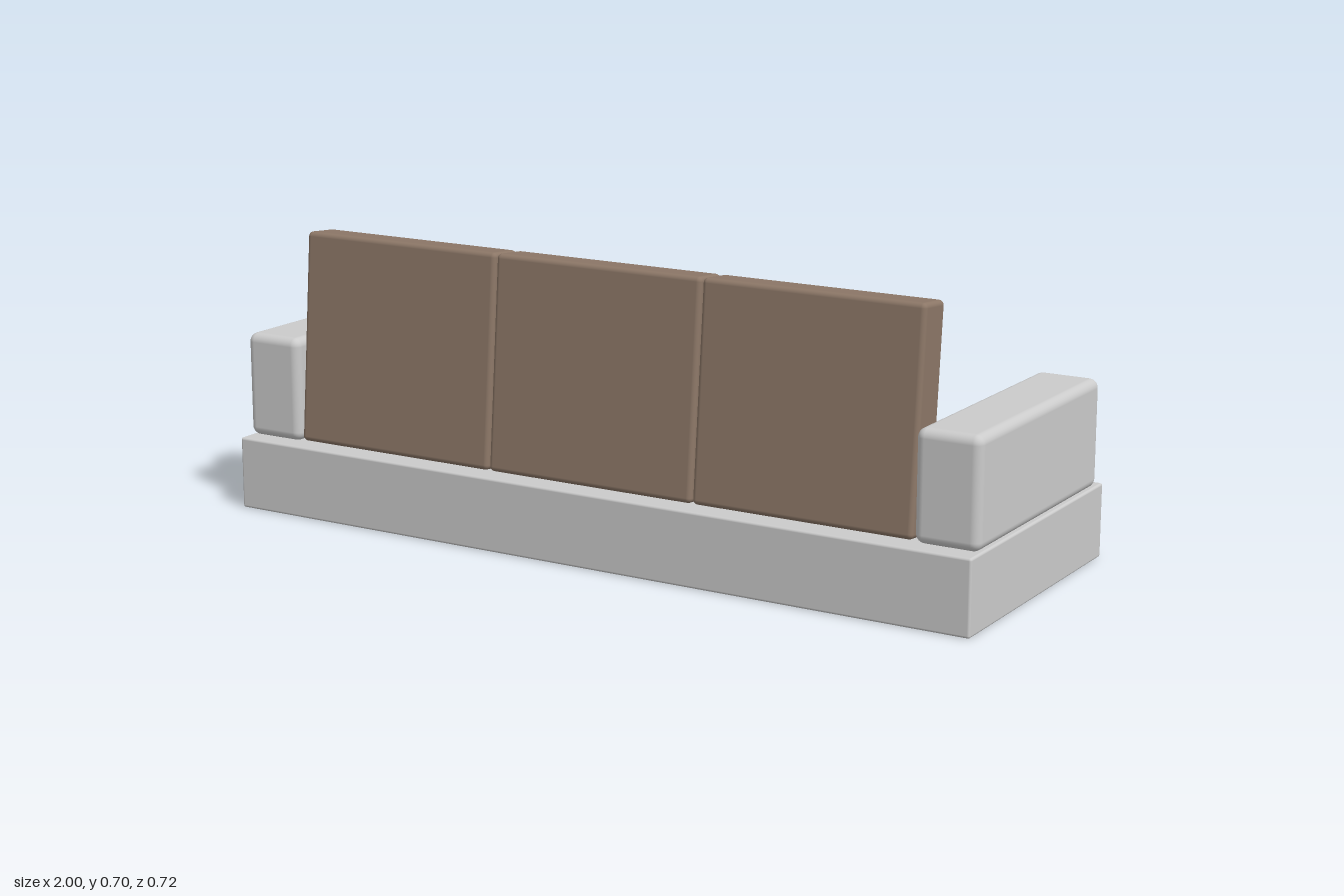
import * as THREE from 'three';
import { RoundedBoxGeometry } from 'three/addons/geometries/RoundedBoxGeometry.js';

export function createModel() {
  const sofa = new THREE.Group();
  sofa.name = 'sofa';
  const grey = new THREE.MeshStandardMaterial({ color: 0xcccccc });
  const brown = new THREE.MeshStandardMaterial({ color: 0x8c7767 });

  // Soft-edged block, placed by its centre
  function block(name, size, radius, position, material) {
    const mesh = new THREE.Mesh(new RoundedBoxGeometry(...size, 4, radius), material);
    mesh.name = name;
    mesh.position.set(...position);
    sofa.add(mesh);
    return mesh;
  }

  // Plinth
  block('base', [2, 0.18, 0.72], 0.006, [0, 0.09, 0], grey);

  // Armrests
  for (const [name, side] of [['leftArm', 1], ['rightArm', -1]]) {
    block(name, [0.158, 0.26, 0.648], 0.022, [side * 0.921, 0.31, 0], grey);
  }

  // Three seats, each with a back cushion leaning on the +z side
  const pitch = 0.56;
  ['right', 'middle', 'left'].forEach((place, i) => {
    const x = (i - 1) * pitch;
    block(place + 'SeatCushion', [0.557, 0.067, 0.6], 0.016, [x, 0.2135, -0.022], brown);
    const back = block(place + 'BackCushion', [0.557, 0.52, 0.097], 0.012, [x, 0.44, 0.249], brown);
    back.rotation.x = -THREE.MathUtils.degToRad(5);
  });

  return sofa;
}
